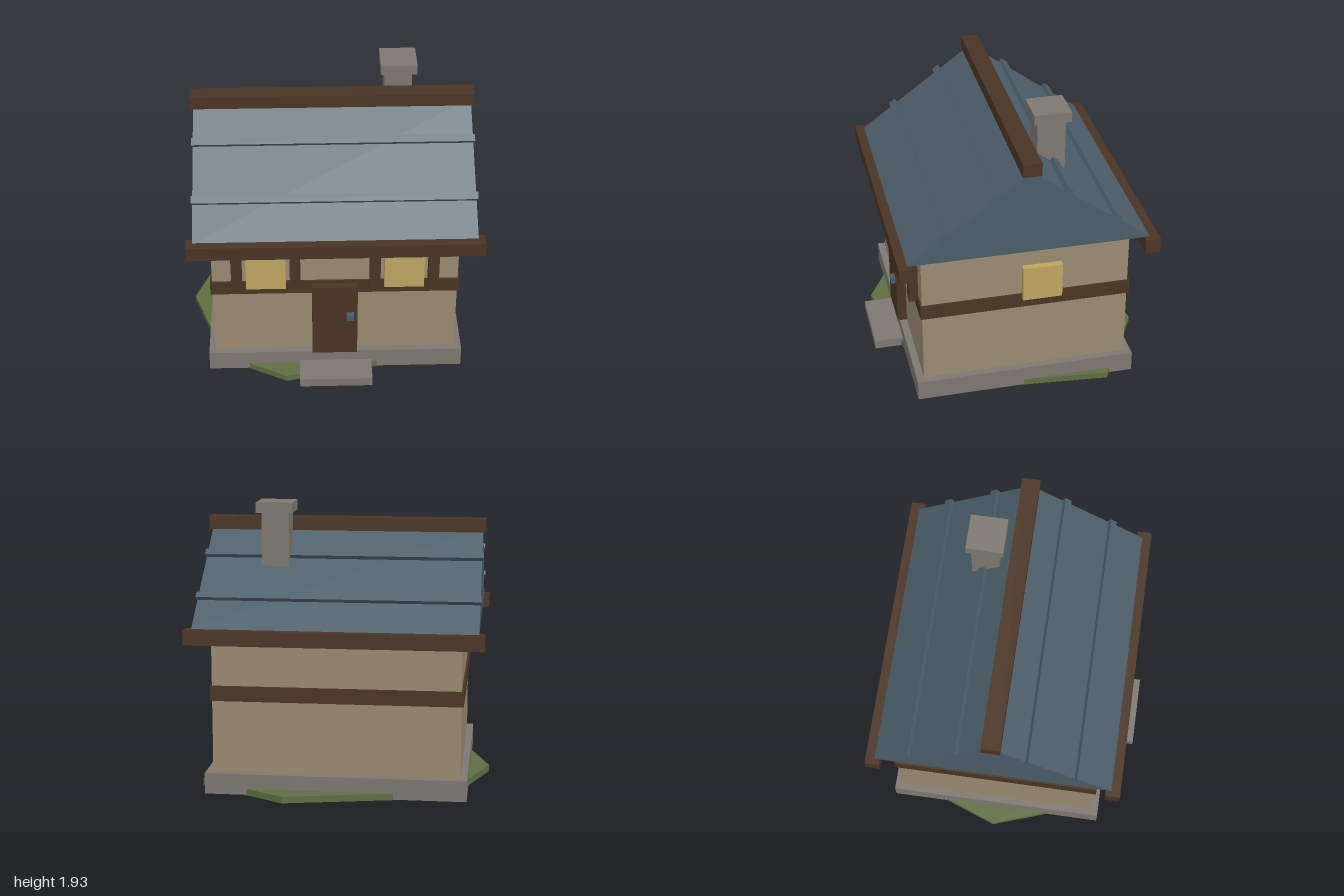
import * as THREE from 'three';

const paint = (name, color) => {
  const m = new THREE.MeshStandardMaterial({ color });
  m.name = name;
  return m;
};

export function createModel() {
  const house = new THREE.Group();
  house.name = 'cottage';

  const plaster = paint('plaster', 0x998b71);
  const timber = paint('timber', 0x4a3524);
  const slate = paint('slate', 0x4b5d68);
  const stone = paint('stone', 0x7d7871);
  const glow = paint('windowGlow', 0xbea661);
  const grass = paint('grass', 0x5f6e43);

  const add = (name, geometry, material) => {
    const mesh = new THREE.Mesh(geometry, material);
    mesh.name = name;
    house.add(mesh);
    return mesh;
  };
  // Box given by its limits on each axis
  const box = (name, material, [x0, x1], [y0, y1], [z0, z1]) => {
    const mesh = add(name, new THREE.BoxGeometry(x1 - x0, y1 - y0, z1 - z0), material);
    mesh.position.set((x0 + x1) / 2, (y0 + y1) / 2, (z0 + z1) / 2);
    return mesh;
  };

  // Uneven patch of grass under the house
  const patch = [
    [-1, -0.03], [-0.77, 0.63], [-0.33, 0.87], [0.4, 0.71], [0.86, 0.4],
    [0.945, -0.59], [0.35, -0.93], [-0.57, -0.74], [-0.78, -0.62],
  ].map(([x, z]) => new THREE.Vector2(x, -z));
  const lawn = new THREE.ExtrudeGeometry(new THREE.Shape(patch), { depth: 0.045, bevelEnabled: false });
  add('grassPatch', lawn.rotateX(-Math.PI / 2), grass);

  // Foundation, step and walls
  box('foundation', stone, [-0.865, 0.895], [0.003, 0.145], [-0.78, 0.73]);
  box('doorStep', stone, [-0.235, 0.265], [0, 0.065], [0.7, 0.93]);
  box('walls', plaster, [-0.82, 0.845], [0.145, 1.14], [-0.73, 0.68]);
  box('wallBand', timber, [-0.835, 0.857], [0.637, 0.74], [-0.742, 0.692]);

  // Door and its handle
  box('door', timber, [-0.145, 0.165], [0.147, 0.72], [0.66, 0.747]);
  box('doorHandle', slate, [0.09, 0.14], [0.455, 0.505], [0.74, 0.78]);

  // Front windows, each with a pair of shutters, and the side window
  for (const x of [-0.455, 0.478]) {
    box('frontWindow', glow, [x - 0.134, x + 0.134], [0.71, 0.96], [0.66, 0.735]);
    for (const s of [-1, 1]) {
      const c = x + s * 0.197;
      box('shutter', timber, [c - 0.036, c + 0.036], [0.69, 0.98], [0.67, 0.742]);
    }
  }
  box('sideWindow', glow, [0.83, 0.89], [0.71, 0.96], [-0.265, 0.003]);

  // Roof prism running along x
  const ridgeZ = -0.025, ridgeY = 1.735, eaveY = 1.14, halfSpan = 0.81;
  const gable = new THREE.Shape();
  gable.moveTo(-halfSpan, eaveY);
  gable.lineTo(halfSpan, eaveY);
  gable.lineTo(0, ridgeY);
  const roof = add('roof', new THREE.ExtrudeGeometry(gable, { depth: 1.885, bevelEnabled: false })
    .rotateY(Math.PI / 2), slate);
  roof.position.set(-0.93, 0, ridgeZ);

  // Battens, eave beams on both slopes, and ridge beam
  const pitch = Math.atan2(ridgeY - eaveY, halfSpan);
  for (const s of [-1, 1]) {
    for (const [d, y] of [[0.25, 1.567], [0.58, 1.323]]) {
      const batten = add('roofBatten', new THREE.BoxGeometry(1.905, 0.034, 0.052), slate);
      batten.position.set(0.0125, y, ridgeZ + s * d);
      batten.rotation.x = s * pitch;
    }
    const c = ridgeZ + s * 0.82;
    box('eaveBeam', timber, [-0.97, 1], [1.043, 1.142], [c - 0.05, c + 0.05]);
  }
  box('ridgeBeam', timber, [-0.95, 0.975], [1.71, 1.8], [-0.09, 0.035]);

  // Chimney
  box('chimneyShaft', stone, [0.375, 0.562], [1.3, 1.87], [-0.35, -0.16]);
  box('chimneyCap', stone, [0.347, 0.595], [1.86, 1.93], [-0.38, -0.13]);

  return house;
}
